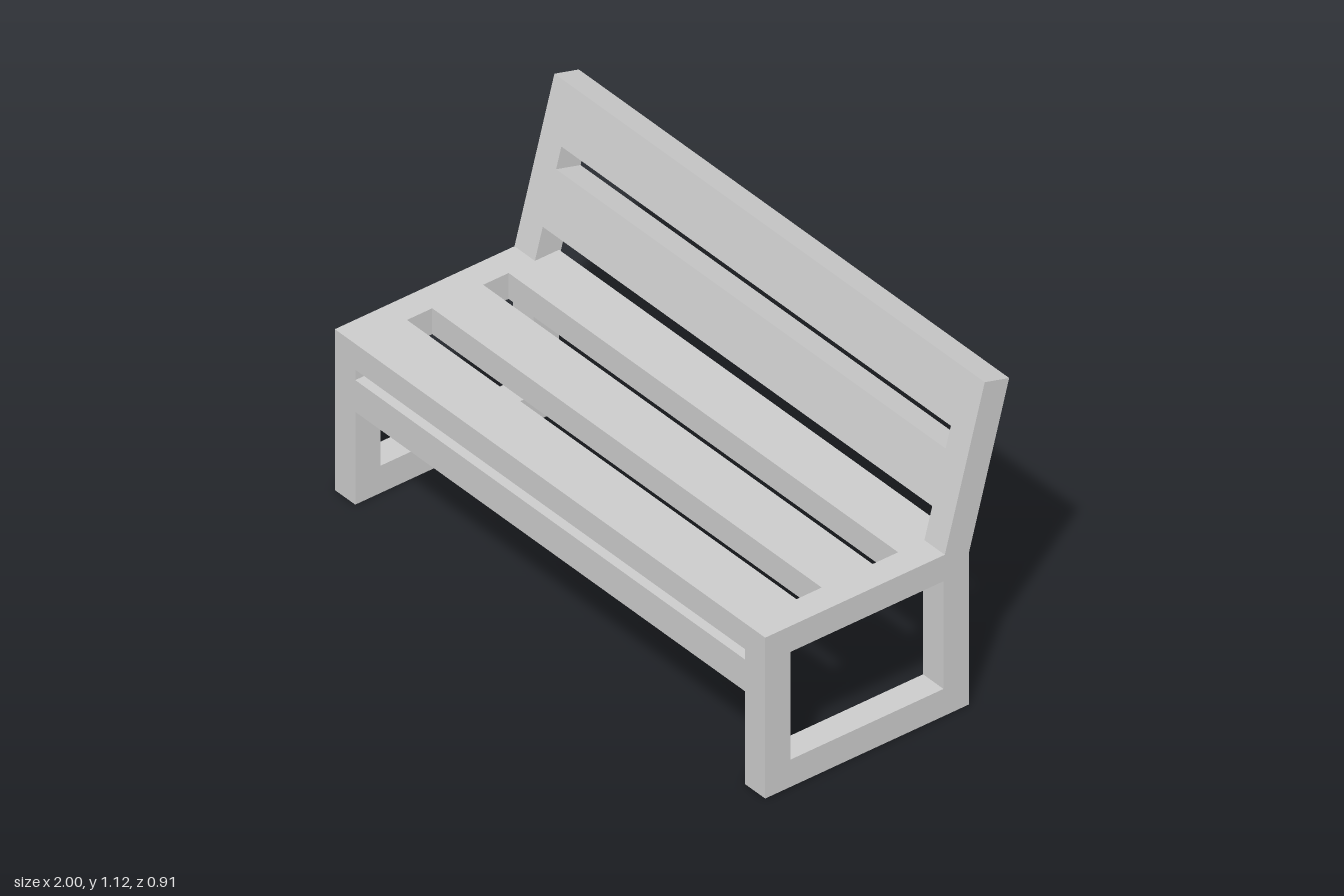
import * as THREE from 'three';

const material = new THREE.MeshStandardMaterial({ color: 0xcccccc, flatShading: true });
const HALF = 1, BAR = 0.095, INNER = HALF - BAR;

// Prism with a [z, y] side profile, running along x from x0 to x1
function prism(name, profile, x0, x1, hole) {
  const toPoints = (list) => list.map(([z, y]) => new THREE.Vector2(-z, y));
  const shape = new THREE.Shape(toPoints(profile));
  if (hole) shape.holes.push(new THREE.Path(toPoints(hole)));
  const geometry = new THREE.ExtrudeGeometry(shape, { depth: x1 - x0, bevelEnabled: false });
  geometry.rotateY(Math.PI / 2).translate(x0, 0, 0);
  const mesh = new THREE.Mesh(geometry, material);
  mesh.name = name;
  return mesh;
}

const rect = (z0, z1, y0, y1) => [[z0, y0], [z1, y0], [z1, y1], [z0, y1]];

export function createModel() {
  const bench = new THREE.Group();
  bench.name = 'bench';

  // Side frames: closed leg loop with a leaning back post
  const frame = [[0.455, 0], [0.455, 0.572], [-0.215, 0.572], [-0.364, 1.12],
    [-0.455, 1.095], [-0.305, 0.54], [-0.305, 0]];
  const opening = rect(0.36, -0.21, 0.097, 0.48);
  bench.add(prism('leftSideFrame', frame, INNER, HALF, opening));
  bench.add(prism('rightSideFrame', frame, -HALF, -INNER, opening));

  // Seat slats
  [[0.455, 0.262], [0.168, -0.022], [-0.117, -0.305]].forEach(([z0, z1], i) => {
    bench.add(prism(`seatSlat${i + 1}`, rect(z0, z1, 0.48, 0.572), -INNER, INNER));
  });

  // Front rail under the seat
  bench.add(prism('frontRail', rect(0.455, 0.36, 0.33, 0.443), -INNER, INNER));

  // Back slats, flush with the leaning posts; heights are along the front face
  const lean = (0.364 - 0.215) / (1.12 - 0.572);
  const frontZ = (y) => -0.364 + (1.12 - y) * lean;
  [[1.12, 0.935], [0.863, 0.68]].forEach(([top, bottom], i) => {
    const profile = [[frontZ(top), top], [frontZ(bottom), bottom],
      [frontZ(bottom) - 0.091, bottom - 0.025], [frontZ(top) - 0.091, top - 0.025]];
    bench.add(prism(`backSlat${i + 1}`, profile, -INNER, INNER));
  });

  return bench;
}
